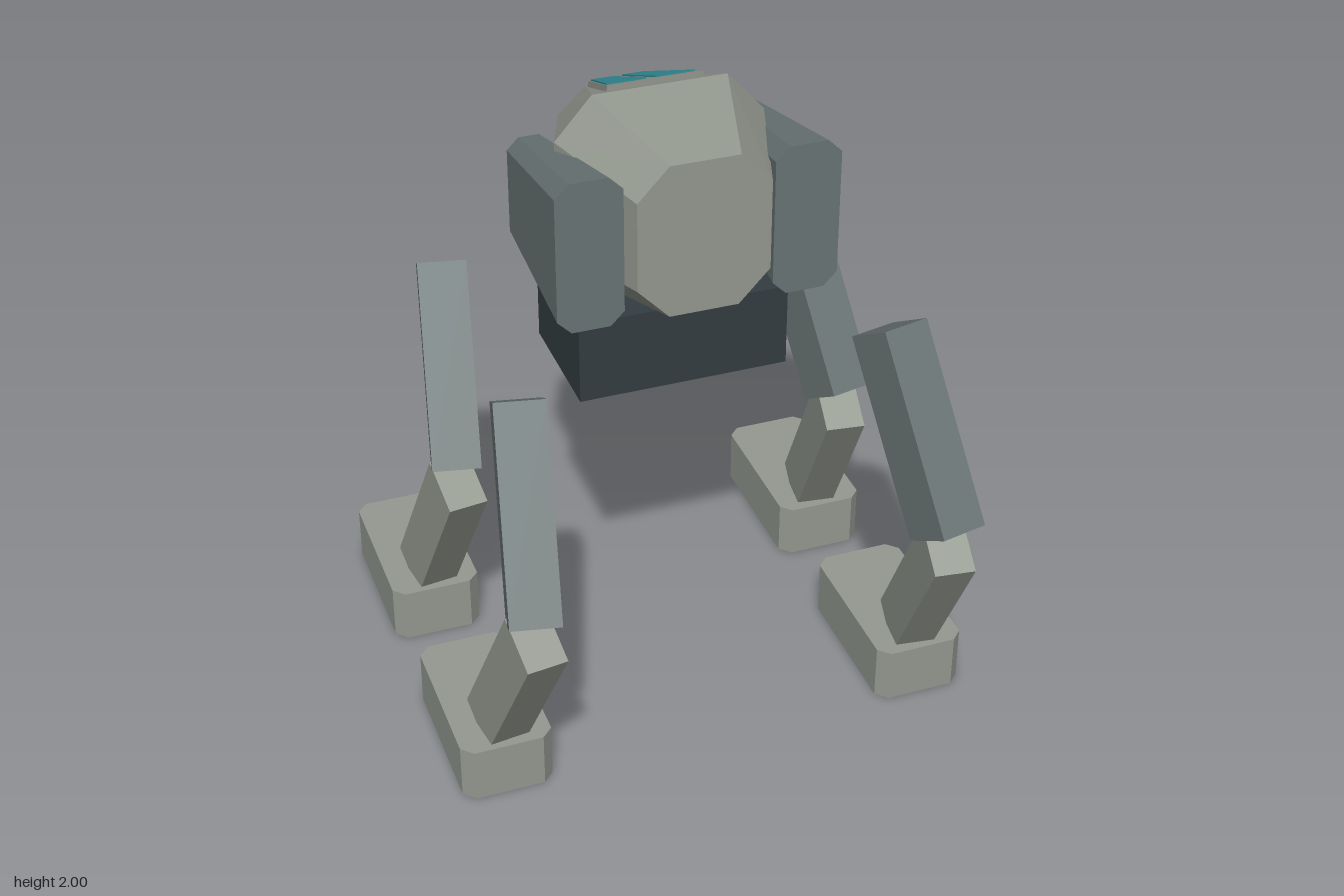
import * as THREE from 'three';

const paint = (color) => new THREE.MeshStandardMaterial({ color, flatShading: true });
const rad = THREE.MathUtils.degToRad;

// Eight-sided section at depth z; cx, ct, cb are the side, top and bottom chamfers
const oct = (z, x0, x1, y0, y1, cx, ct = cx, cb = cx) => [
  [x0 + cx, y0], [x1 - cx, y0], [x1, y0 + cb], [x1, y1 - ct],
  [x1 - cx, y1], [x0 + cx, y1], [x0, y1 - ct], [x0, y0 + cb],
].map(([x, y]) => [x, y, z]);

// Four-sided section, wider at the base
const trapezoid = (z, base, top, y0, y1) => [[-base, y0, z], [base, y0, z], [top, y1, z], [-top, y1, z]];

// Flat-faced skin through sections ordered from +z to -z, capped at both ends
function loft(sections) {
  const pos = [];
  const face = (...p) => {
    for (let i = 1; i < p.length - 1; i++) pos.push(...p[0], ...p[i], ...p[i + 1]);
  };
  for (let s = 0; s < sections.length - 1; s++) {
    const a = sections[s], b = sections[s + 1];
    a.forEach((p, i) => {
      const j = (i + 1) % a.length;
      face(p, b[i], b[j], a[j]);
    });
  }
  face(...sections[0]);
  face(...[...sections[sections.length - 1]].reverse());
  const geo = new THREE.BufferGeometry();
  geo.setAttribute('position', new THREE.Float32BufferAttribute(pos, 3));
  geo.computeVertexNormals();
  return geo;
}

export function createModel() {
  const model = new THREE.Group();
  model.name = 'walker';
  const hull = paint(0x949990);
  const panel = paint(0x697474);
  const dark = paint(0x333d41);
  const glass = paint(0x33909b);

  const add = (parent, name, geo, mat, x = 0, y = 0, z = 0) => {
    const mesh = new THREE.Mesh(geo, mat);
    mesh.name = name;
    mesh.position.set(x, y, z);
    parent.add(mesh);
    return mesh;
  };

  // Faceted hull, widest in the middle
  add(model, 'hull', loft([
    oct(0.35, -0.2, 0.2, 1.46, 1.94, 0.095, 0.1, 0.1),
    oct(-0.02, -0.32, 0.32, 1.39, 2.0, 0.115, 0.13, 0.14),
    oct(-0.5, -0.16, 0.16, 1.44, 1.785, 0.09, 0.085, 0.08),
  ]), hull);

  // Raised canopy frame running down to a small nose
  add(model, 'canopyFrame', loft([
    trapezoid(-0.06, 0.16, 0.145, 1.92, 2.0),
    trapezoid(-0.42, 0.105, 0.085, 1.74, 1.84),
    trapezoid(-0.5, 0.07, 0.062, 1.66, 1.775),
  ]), hull);
  add(model, 'nose', loft([
    oct(-0.44, -0.07, 0.07, 1.64, 1.79, 0.02, 0.03, 0.03),
    oct(-0.5, -0.07, 0.07, 1.635, 1.78, 0.02, 0.04, 0.03),
    oct(-0.545, -0.06, 0.06, 1.63, 1.73, 0.02, 0.03, 0.03),
  ]), hull);

  // Dark block under the hull
  add(model, 'underBlock', new THREE.BoxGeometry(0.65, 0.265, 0.405), dark, 0, 1.2525, -0.0125);

  for (const side of [1, -1]) {
    const tag = side > 0 ? 'left' : 'right';
    const span = (inner, outer) => (side > 0 ? [inner, outer] : [-outer, -inner]);

    // Window following the canopy slope
    const pane = (z, outer, y) => {
      const [x0, x1] = span(0.015, outer);
      return [[x0, y - 0.02, z], [x1, y - 0.02, z], [x1, y, z], [x0, y, z]];
    };
    add(model, tag + 'Window', loft([pane(-0.1, 0.135, 1.987), pane(-0.4, 0.083, 1.854)]), glass);

    // Side pod, tapering to the back
    add(model, tag + 'Pod', loft([
      oct(0.31, ...span(0.225, 0.425), 1.44, 1.915, 0.042),
      oct(-0.215, ...span(0.27, 0.405), 1.46, 1.8, 0.036),
    ]), panel);

    // Front and back legs share one shape
    for (const [end, z] of [['Front', 0.547], ['Back', -0.263]]) {
      const leg = new THREE.Group();
      leg.name = tag + end + 'Leg';
      leg.position.z = z;
      model.add(leg);

      const thigh = add(leg, 'upperLeg', new THREE.BoxGeometry(0.15, 0.635, 0.185), panel, side * 0.604, 1.033, 0);
      thigh.rotation.set(rad(-32), rad(12 * side), 0, 'YXZ');

      const shin = add(leg, 'lowerLeg', new THREE.BoxGeometry(0.125, 0.64, 0.175), hull, side * 0.66, 0.45, 0.018);
      shin.rotation.set(rad(31), rad(-7.5 * side), 0, 'YXZ');

      const foot = loft([0.18, 0].map((h) => oct(h, -0.143, 0.143, -0.265, 0.265, 0.035))).rotateX(-Math.PI / 2);
      add(leg, 'foot', foot, hull, side * 0.681, 0, -0.277);
    }
  }
  return model;
}
